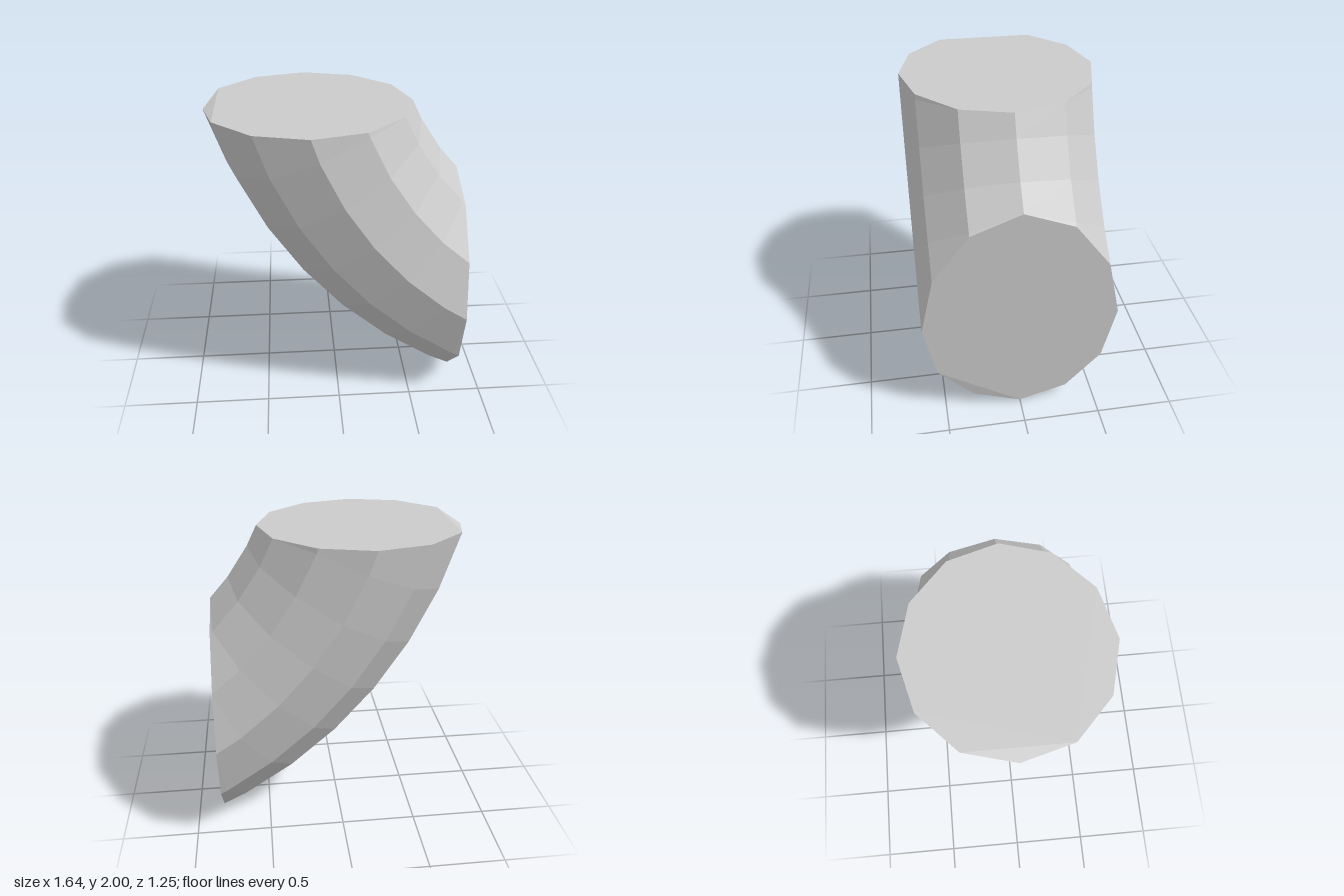
import * as THREE from 'three';

const SIDES = 12;
const BEND = { x: 2.187, y: 2.806, radius: 2.5, tube: 0.625 };
const STEP = THREE.MathUtils.degToRad(7.5);

// One lengthwise edge of the bent pipe, trimmed by the planes y = top and x = side
function pipeEdge(k) {
  const phi = (k / SIDES) * Math.PI * 2;
  const r = BEND.radius + BEND.tube * Math.cos(phi);
  const top = k === 0 ? 1.97 : 2;
  const side = k === 1 ? 0.807 : 0.82;
  const pts = [];
  for (let j = 2; j <= 9; j++) {
    pts.push(new THREE.Vector3(
      BEND.x - r * Math.cos(j * STEP),
      BEND.y - r * Math.sin(j * STEP),
      BEND.tube * Math.sin(phi)));
  }
  const first = pts.findIndex(p => p.y < top);
  const last = pts.findLastIndex(p => p.x < side);
  const cut = (a, b, axis, value) => a.clone().lerp(b, (value - a[axis]) / (b[axis] - a[axis]));
  const start = cut(pts[first], pts[first - 1], 'y', top);
  const end = cut(pts[last], pts[last + 1], 'x', side);
  return pts.map((p, j) => (j < first ? start : j > last ? end : p));
}

function meshFrom(name, triangles, material) {
  const geometry = new THREE.BufferGeometry().setFromPoints(triangles);
  geometry.computeVertexNormals();
  const mesh = new THREE.Mesh(geometry, material);
  mesh.name = name;
  return mesh;
}

// Flat end face as a fan around one corner
function fan(ring, from, flip) {
  const tris = [];
  const at = i => ring[(from + i) % SIDES];
  for (let i = 1; i < SIDES - 1; i++) {
    tris.push(at(0), at(flip ? i + 1 : i), at(flip ? i : i + 1));
  }
  return tris;
}

export function createModel() {
  const group = new THREE.Group();
  group.name = 'pipeElbow';
  const material = new THREE.MeshStandardMaterial({ color: 0xcccccc, flatShading: true });
  const edges = Array.from({ length: SIDES }, (_, k) => pipeEdge(k));

  // Faceted curved wall
  const wall = [];
  const add = (a, b, c) => {
    if (new THREE.Triangle(a, b, c).getArea() > 1e-7) wall.push(a, b, c);
  };
  edges.forEach((a, k) => {
    const b = edges[(k + 1) % SIDES];
    for (let j = 0; j < a.length - 1; j++) {
      add(a[j], a[j + 1], b[j]);
      add(b[j], a[j + 1], b[j + 1]);
    }
  });
  group.add(meshFrom('bentWall', wall, material));

  // End faces
  group.add(meshFrom('topFace', fan(edges.map(e => e[0]), 1, false), material));
  group.add(meshFrom('sideFace', fan(edges.map(e => e[e.length - 1]), 2, true), material));
  return group;
}
